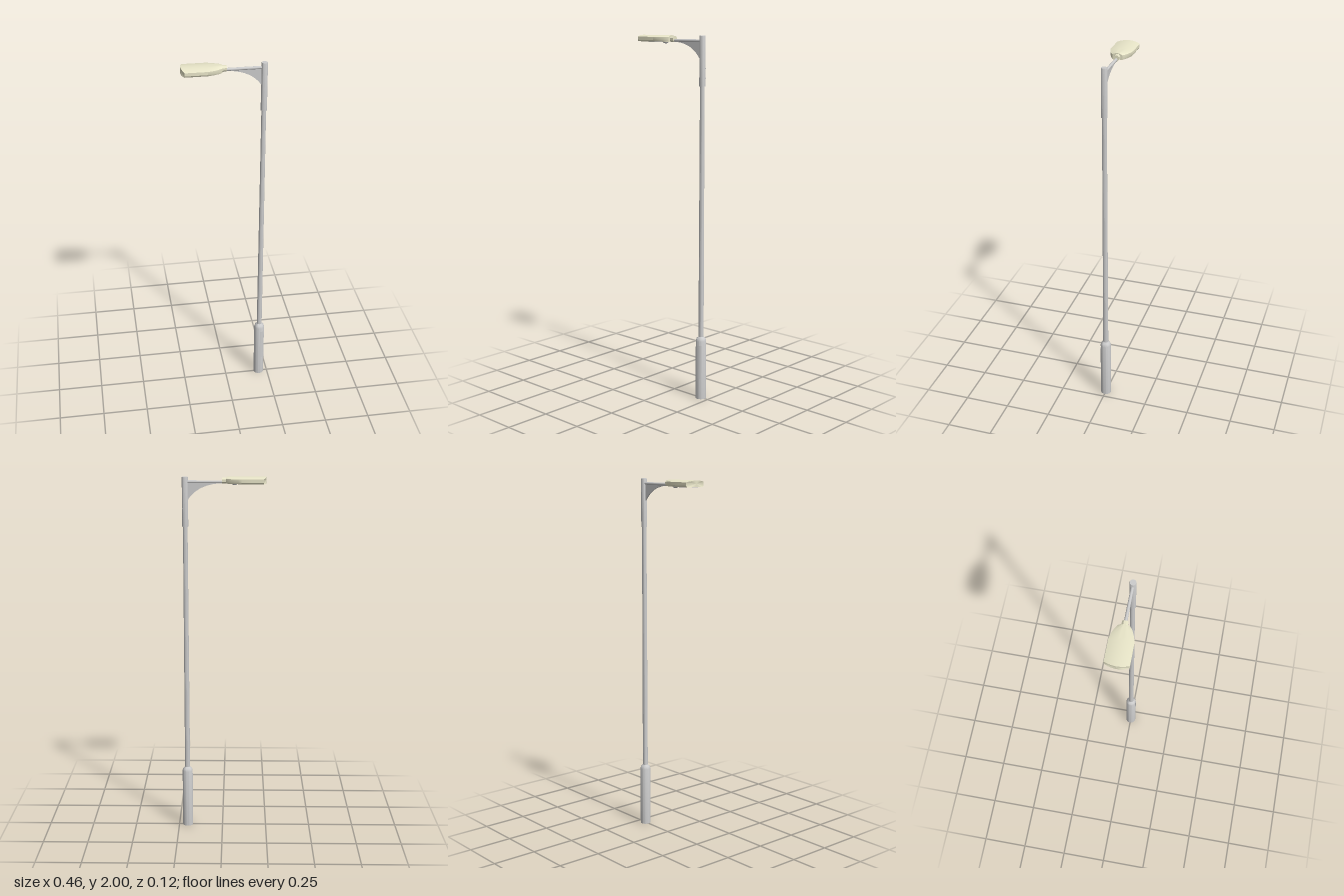
import * as THREE from 'three';
import { toCreasedNormals } from 'three/addons/utils/BufferGeometryUtils.js';

const POLE_X = 0.2;
const grey = new THREE.MeshStandardMaterial({ color: 0xcccccc });
const cream = new THREE.MeshStandardMaterial({ color: 0xe8e5c8 });

function part(parent, name, geometry, material, x = 0, y = 0, z = 0) {
  const mesh = new THREE.Mesh(geometry, material);
  mesh.name = name;
  mesh.position.set(x, y, z);
  parent.add(mesh);
  return mesh;
}

// Solid of revolution with crisp edges, from [radius, height] pairs
function turned(profile, sides = 32) {
  const points = profile.map(([r, y]) => new THREE.Vector2(r, y));
  return toCreasedNormals(new THREE.LatheGeometry(points, sides), 0.5);
}

// Lamp shell: domed cross-sections lofted along x, with a bowed outer end
function lampShell() {
  const stations = [[-0.232, 0.0615], [-0.16, 0.0615], [-0.1, 0.0615], [-0.085, 0.0585],
    [-0.065, 0.0525], [-0.045, 0.044], [-0.03, 0.035], [-0.02, 0.026]];
  const rings = stations.map(([x, w], s) => {
    const ring = [];
    const add = (k, y) => ring.push([x + (s === 0 ? 0.015 * k * k : 0), y, w * k]);
    for (let i = 0; i <= 12; i++) {
      const k = 1 - i / 6;
      add(k, 1.991 + 0.009 * (1 - k * k));
    }
    add(-1, 1.974);
    for (let i = 0; i <= 12; i++) add((i / 6 - 1) * 0.92, 1.966);
    add(1, 1.974);
    return ring;
  });
  const pos = [];
  const tri = (...corners) => corners.forEach((c) => pos.push(...c));
  const n = rings[0].length;
  const last = rings.length - 1;
  for (let j = 0; j < n; j++) {
    const k = (j + 1) % n;
    for (let i = 0; i < last; i++) {
      const [a, b] = [rings[i], rings[i + 1]];
      tri(a[j], b[j], a[k]);
      tri(b[j], b[k], a[k]);
    }
    tri([-0.232, 1.983, 0], rings[0][j], rings[0][k]);
    tri([-0.02, 1.983, 0], rings[last][k], rings[last][j]);
  }
  const geometry = new THREE.BufferGeometry();
  geometry.setAttribute('position', new THREE.Float32BufferAttribute(pos, 3));
  return toCreasedNormals(geometry, 0.55);
}

// Window under the lamp with a bowed outer edge
function lampWindow() {
  const s = new THREE.Shape();
  s.moveTo(-0.205, -0.05);
  s.lineTo(-0.1, -0.05);
  s.lineTo(-0.09, -0.04);
  s.lineTo(-0.09, 0.04);
  s.lineTo(-0.1, 0.05);
  s.lineTo(-0.205, 0.05);
  s.quadraticCurveTo(-0.229, 0, -0.205, -0.05);
  return new THREE.ExtrudeGeometry(s, { depth: 0.003, bevelEnabled: false }).rotateX(Math.PI / 2);
}

export function createModel() {
  const model = new THREE.Group();
  model.name = 'streetLamp';

  // Pole with wide base and top sleeve
  const pole = new THREE.Group();
  pole.name = 'pole';
  pole.position.x = POLE_X;
  model.add(pole);
  part(pole, 'base', turned([[0, 0], [0.029, 0], [0.029, 0.335], [0.025, 0.347], [0.014, 0.358], [0, 0.358]]), grey);
  part(pole, 'shaft', turned([[0, 0.35], [0.0145, 0.35], [0.0125, 1.75], [0, 1.75]]), grey);
  part(pole, 'sleeve', turned([[0, 1.735], [0.0165, 1.735], [0.0165, 1.996], [0.0155, 2], [0, 2]]), grey);

  // Service door on the base, with its lock
  const door = new THREE.CylinderGeometry(0.0298, 0.0298, 0.19, 8, 1, true, 0.02, 0.78);
  part(pole, 'serviceDoor', door, grey.clone(), 0, 0.215, 0).material.side = THREE.DoubleSide;
  const lock = part(pole, 'doorLock', new THREE.CylinderGeometry(0.003, 0.003, 0.004, 12).rotateX(Math.PI / 2),
    grey, 0.0298 * Math.sin(0.4), 0.3, 0.0298 * Math.cos(0.4));
  lock.rotation.y = 0.4;

  // Clamp screws on the sleeve
  for (const y of [1.78, 1.83]) {
    const screw = part(pole, 'sleeveScrew', new THREE.CylinderGeometry(0.003, 0.003, 0.004, 8).rotateX(Math.PI / 2),
      grey, 0.0117, y, -0.0117);
    screw.rotation.y = Math.PI * 0.75;
  }

  // Arm and the curved bracket web beneath it
  part(model, 'arm', new THREE.CylinderGeometry(0.008, 0.008, 0.21, 20).rotateZ(Math.PI / 2), grey, 0.095, 1.973, 0);
  const web = new THREE.Shape();
  web.moveTo(0.19, 1.877);
  web.lineTo(0.19, 1.973);
  web.lineTo(0, 1.973);
  web.lineTo(0, 1.966);
  web.quadraticCurveTo(0.13, 1.962, 0.185, 1.877);
  part(model, 'bracketWeb', new THREE.ExtrudeGeometry(web, { depth: 0.008, bevelEnabled: false, curveSegments: 16 }),
    grey, 0, 0, -0.004);

  // Lamp head
  const lamp = new THREE.Group();
  lamp.name = 'lampHead';
  model.add(lamp);
  part(lamp, 'shell', lampShell(), cream);
  const collar = new THREE.CylinderGeometry(0.017, 0.017, 0.025, 8).rotateY(Math.PI / 8).rotateZ(Math.PI / 2);
  part(lamp, 'collar', toCreasedNormals(collar, 0.3), cream, -0.0095, 1.98, 0);
  part(lamp, 'window', lampWindow(), grey, 0, 1.967, 0);
  part(lamp, 'sensorRing', new THREE.CylinderGeometry(0.019, 0.019, 0.004, 24), cream, -0.064, 1.965, 0);
  const dome = new THREE.SphereGeometry(0.015, 20, 8, 0, Math.PI * 2, Math.PI / 2, Math.PI / 2).scale(1, 0.5, 1);
  part(lamp, 'sensorDome', dome, grey, -0.064, 1.9635, 0);

  return model;
}
